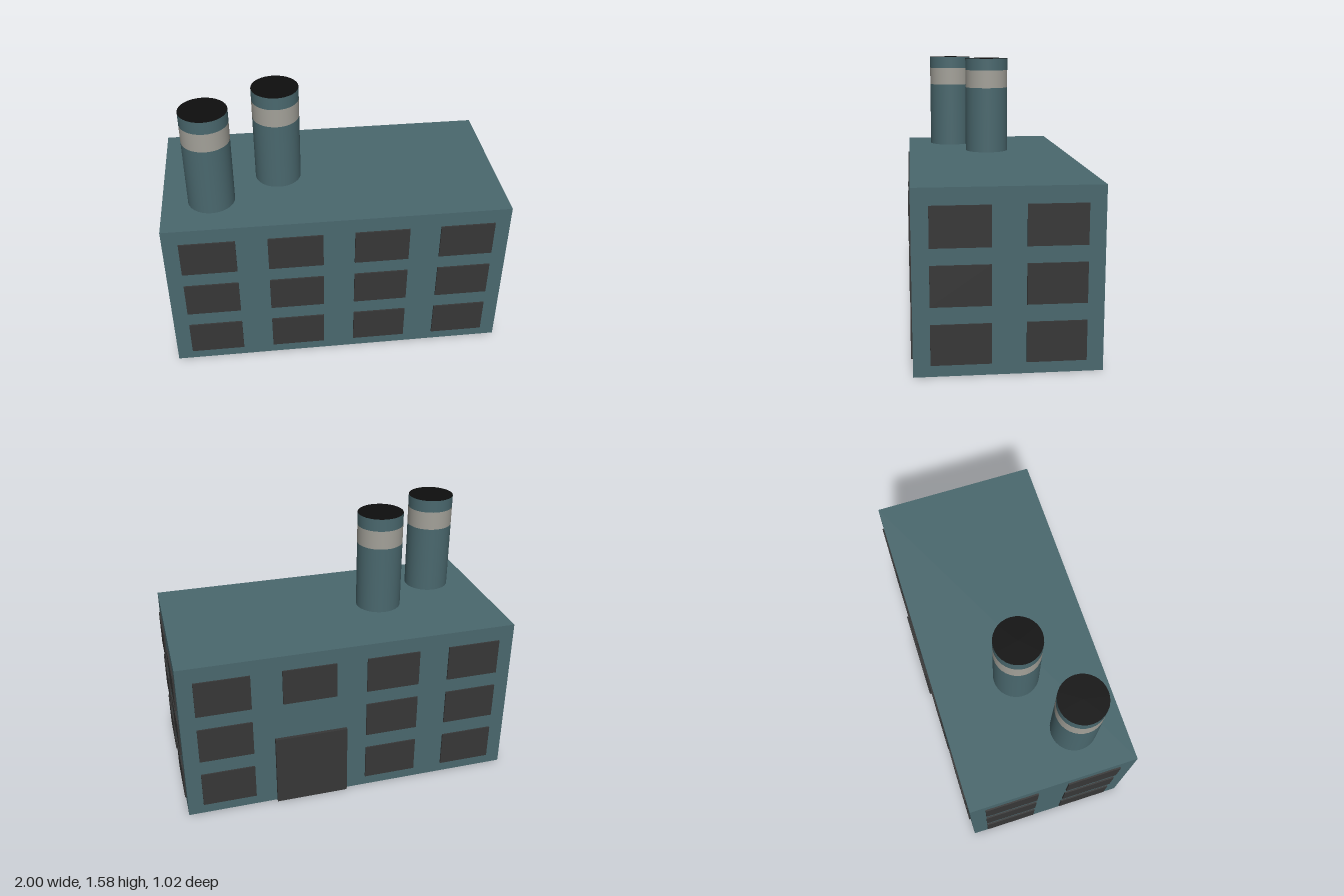
import * as THREE from 'three';

const mat = (name, color, flatShading = false) => {
  const m = new THREE.MeshStandardMaterial({ color, flatShading });
  m.name = name;
  return m;
};

export function createModel() {
  const model = new THREE.Group();
  model.name = 'factory';
  const wall = mat('slateTeal', 0x4a686e);
  const pane = mat('darkGrey', 0x373737);
  const stripe = mat('paleGrey', 0xa3a199);
  const soot = mat('sootBlack', 0x0e0e0e);

  const add = (name, geometry, material, x, y, z, parent = model) => {
    const mesh = new THREE.Mesh(geometry, material);
    mesh.name = name;
    mesh.position.set(x, y, z);
    parent.add(mesh);
    return mesh;
  };

  // Main block
  const W = 1.98, H = 0.99, D = 0.99, midZ = 0.005;
  add('building', new THREE.BoxGeometry(W, H, D), wall, 0, H / 2, midZ);

  // Windows: thin raised plates in three rows on all four walls
  const rows = [0.172, 0.483, 0.79];
  const columns = [-0.743, -0.248, 0.248, 0.743];
  const sideColumns = [-0.248, 0.248];
  const size = 0.315, high = 0.217, thick = 0.009;
  const longPane = new THREE.BoxGeometry(size, high, thick);
  const sidePane = new THREE.BoxGeometry(thick, high, size);
  const doorColumn = 2;
  rows.forEach((y, row) => {
    columns.forEach((x, col) => {
      add('frontWindow', longPane, pane, x, y, midZ + D / 2 + thick / 2);
      // The door takes the place of the two lower windows
      if (col !== doorColumn || row === 2) {
        add('backWindow', longPane, pane, x, y, midZ - D / 2 - thick / 2);
      }
    });
    for (const z of sideColumns) {
      for (const s of [-1, 1]) {
        add(s > 0 ? 'leftWindow' : 'rightWindow', sidePane, pane, s * (W / 2 + thick / 2), y, midZ + z);
      }
    }
  });

  // Loading door on the back wall
  add('backDoor', new THREE.BoxGeometry(0.43, 0.45, 0.02), pane, 0.245, 0.225, midZ - D / 2 - 0.01);

  // Chimneys: shaft, painted band and rim with a sooty top
  const R = 0.135, bandLow = 1.397, bandHigh = 1.507, top = 1.58;
  const ring = (name, y0, y1, material, parent, open = true) =>
    add(name, new THREE.CylinderGeometry(R, R, y1 - y0, 32, 1, open), material, 0, (y0 + y1) / 2, 0, parent);
  for (const [x, z] of [[-0.708, 0.215], [-0.31, 0]]) {
    const chimney = new THREE.Group();
    chimney.name = 'chimney';
    chimney.position.set(x, 0, z);
    model.add(chimney);
    ring('chimneyShaft', H, bandLow, wall, chimney);
    ring('chimneyBand', bandLow, bandHigh, stripe, chimney);
    ring('chimneyRim', bandHigh, top, [wall, soot, wall], chimney, false);
  }

  return model;
}
